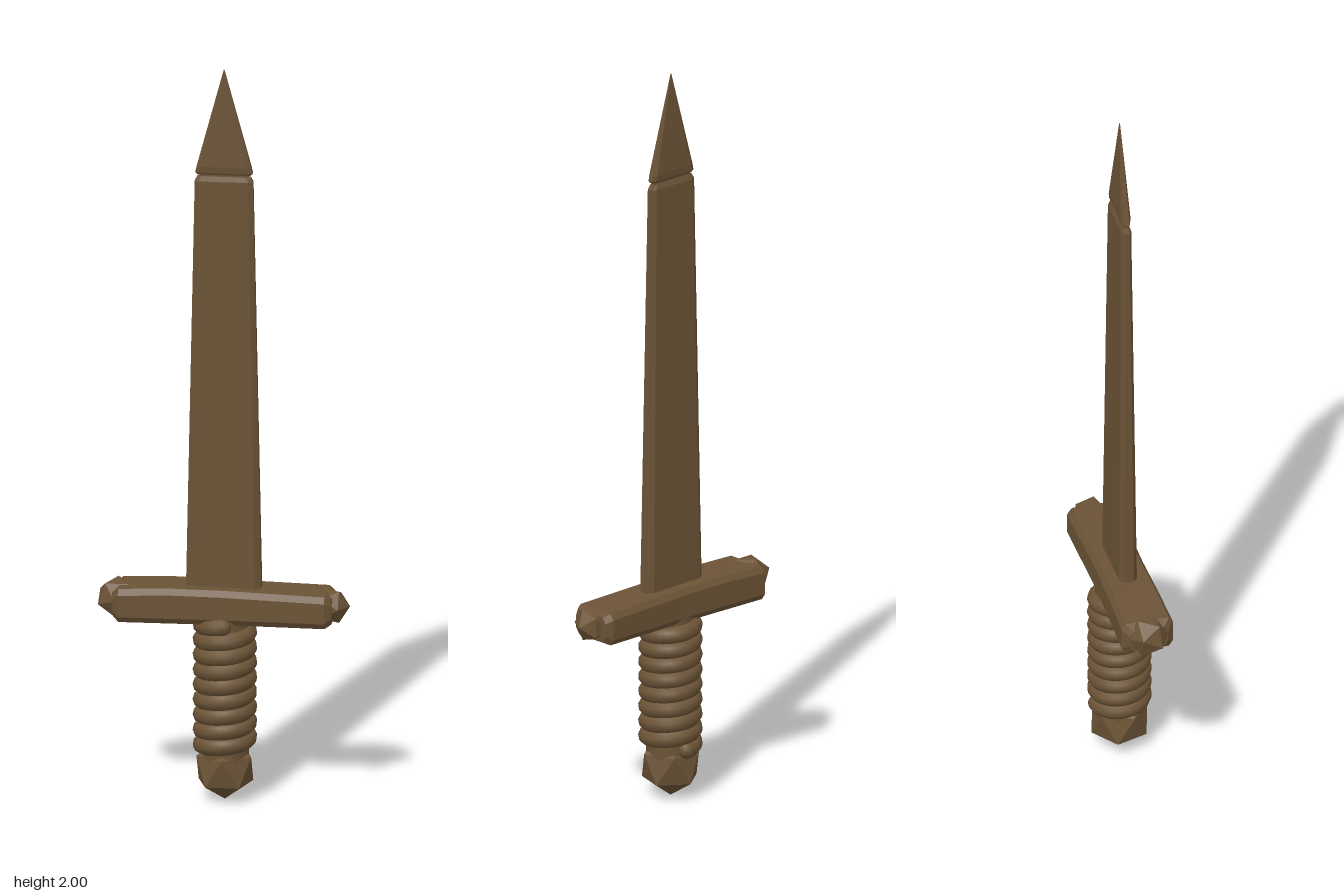
import * as THREE from 'three';

// Flat-shaded solid lofted through equal-length rings of Vector3, capped at both ends.
// Rings run counter-clockwise when seen from the far (last) end.
function loft(rings) {
  const pos = [];
  const tri = (a, b, c) => pos.push(...a.toArray(), ...b.toArray(), ...c.toArray());
  const n = rings[0].length;
  for (let i = 0; i < rings.length - 1; i++) {
    for (let j = 0; j < n; j++) {
      const k = (j + 1) % n;
      const [a, b, c, d] = [rings[i][j], rings[i][k], rings[i + 1][k], rings[i + 1][j]];
      tri(a, b, c);
      tri(a, c, d);
    }
  }
  const first = rings[0], last = rings[rings.length - 1];
  for (let j = 1; j < n - 1; j++) {
    tri(first[0], first[j + 1], first[j]);
    tri(last[0], last[j], last[j + 1]);
  }
  const geo = new THREE.BufferGeometry();
  geo.setAttribute('position', new THREE.Float32BufferAttribute(pos, 3));
  geo.computeVertexNormals();
  return geo;
}

// Counter-clockwise chamfered rectangle with half sizes w, h and chamfers cw, ch
function chamferedRect(w, h, cw, ch) {
  return [
    [w, -h + ch], [w, h - ch], [w - cw, h], [-w + cw, h],
    [-w, h - ch], [-w, -h + ch], [-w + cw, -h], [w - cw, -h],
  ];
}

export function createModel() {
  const model = new THREE.Group();
  const wood = new THREE.MeshStandardMaterial({ color: 0x6b5336 });
  wood.name = 'brown';
  const faceted = wood.clone();
  faceted.flatShading = true;

  const add = (name, geo, x = 0, y = 0, z = 0, material = faceted) => {
    const mesh = new THREE.Mesh(geo, material);
    mesh.name = name;
    mesh.position.set(x, y, z);
    model.add(mesh);
    return mesh;
  };

  // Blade sections: height, half width, half thickness
  const bladeRing = ([y, w, t]) =>
    chamferedRect(w, t, w * 0.16, t * 0.5).map(([x, z]) => new THREE.Vector3(x - 0.002, y, -z));
  add('blade', loft([
    [0.56, 0.1, 0.024], [0.6, 0.099, 0.024], [1.695, 0.077, 0.014], [1.708, 0.07, 0.009],
  ].map(bladeRing)));
  add('bladeTip', loft([
    [1.712, 0.07, 0.008], [1.718, 0.076, 0.011], [1.735, 0.072, 0.013], [2.0, 0.001, 0.001],
  ].map(bladeRing)));
  add('bladeNeck', new THREE.BoxGeometry(0.13, 0.03, 0.012), -0.002, 1.71, 0);

  // Crossguard sections: x, half depth, bottom, top
  const guardRing = ([x, d, bottom, top]) => {
    const mid = (bottom + top) / 2;
    return chamferedRect(d, (top - bottom) / 2, 0.011, 0.016)
      .map(([z, y]) => new THREE.Vector3(x, mid + y, -z));
  };
  add('crossguard', loft([
    [-0.293, 0.052, 0.505, 0.567], [-0.275, 0.07, 0.492, 0.583], [-0.14, 0.067, 0.492, 0.588],
    [0, 0.064, 0.492, 0.586], [0.27, 0.068, 0.492, 0.579], [0.287, 0.056, 0.502, 0.569],
  ].map(guardRing)));

  // Icosahedron standing on one vertex
  const gem = (r) => new THREE.IcosahedronGeometry(r)
    .rotateZ(Math.atan(2 / (1 + Math.sqrt(5))))
    .rotateY(Math.PI / 2);
  add('leftGuardEnd', gem(0.05).rotateZ(-Math.PI / 2), 0.281, 0.54, 0);
  add('rightGuardEnd', new THREE.IcosahedronGeometry(0.057).rotateX(0.5), -0.284, 0.543, 0);
  add('pommel', gem(0.085), 0, 0.085, 0);

  // Grip core with a cord wound round it
  add('gripCore', new THREE.CylinderGeometry(0.064, 0.064, 0.4, 20), 0, 0.31, 0, wood);
  const turns = 8.5, radius = 0.061, cord = 0.024, y0 = 0.14, y1 = 0.488;
  const points = [];
  const steps = turns * 16;
  for (let i = 0; i <= steps; i++) {
    const a = (i / steps) * turns * Math.PI * 2 + Math.PI;
    points.push(new THREE.Vector3(
      Math.sin(a) * radius, y0 + (y1 - y0) * i / steps, Math.cos(a) * radius));
  }
  const path = new THREE.CatmullRomCurve3(points);
  add('gripWrap', new THREE.TubeGeometry(path, 240, cord, 10), 0, 0, 0, wood);
  for (const p of [points[0], points[steps]]) {
    add('wrapEnd', new THREE.SphereGeometry(cord, 10, 8), p.x, p.y, p.z, wood);
  }

  return model;
}
